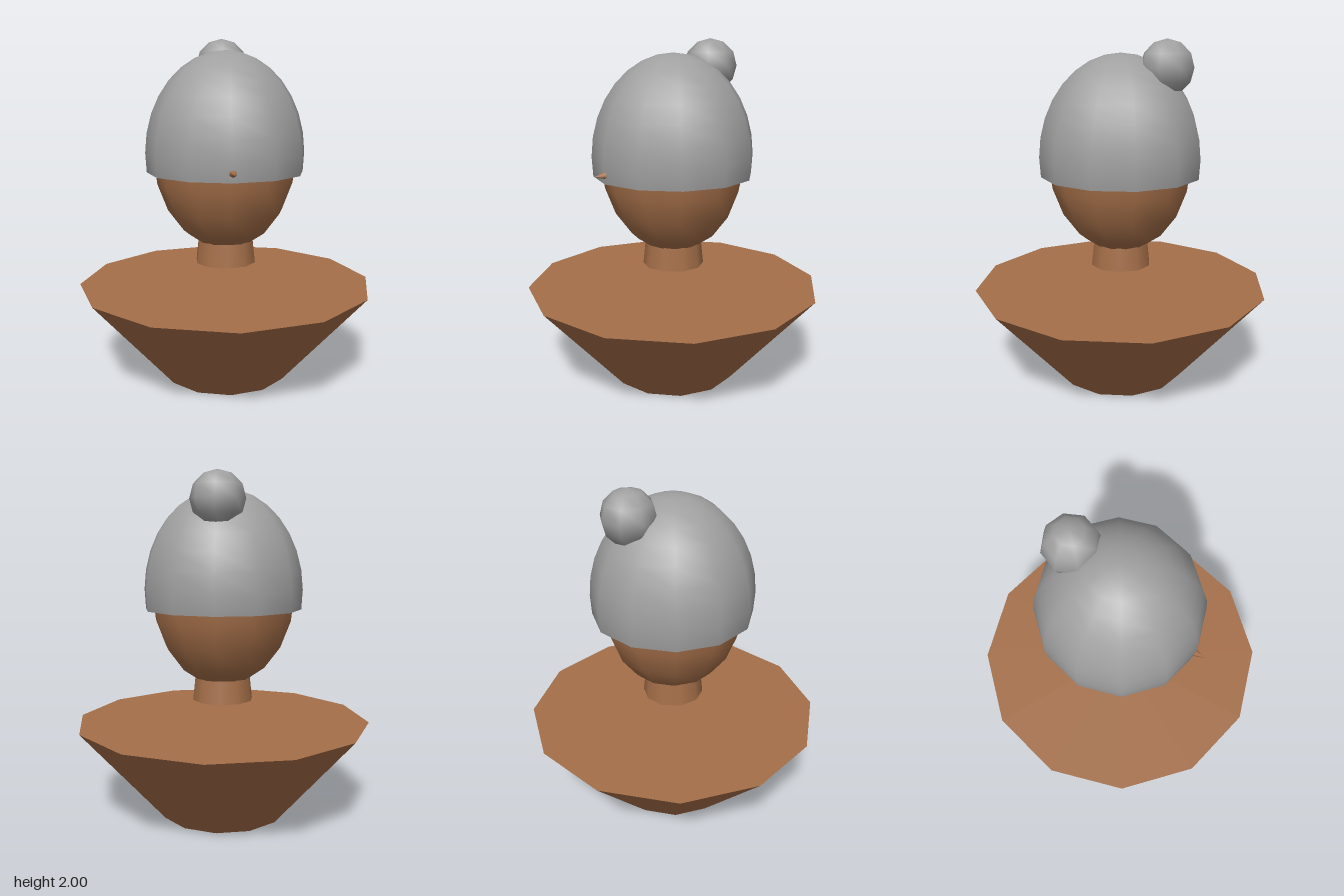
import * as THREE from 'three';

export function createModel() {
  const model = new THREE.Group();
  const skin = new THREE.MeshStandardMaterial({ color: 0xa56f49 });
  skin.name = 'brown skin';
  const wool = new THREE.MeshStandardMaterial({ color: 0xa0a0a0, side: THREE.DoubleSide });
  wool.name = 'grey wool';

  function add(name, geometry, material, y, z = 0) {
    const mesh = new THREE.Mesh(geometry, material);
    mesh.name = name;
    mesh.position.set(0, y, z);
    model.add(mesh);
    return mesh;
  }

  // Bust: wide shoulders tapering to the base
  add('torso', new THREE.CylinderGeometry(0.867, 0.372, 0.565, 12), skin, 0.2825);

  // Neck floats above the shoulders and runs into the head
  add('neck', new THREE.CylinderGeometry(0.163, 0.18, 0.16, 10), skin, 0.77);

  // Egg-shaped head
  add('head', new THREE.SphereGeometry(1, 12, 10), skin, 1.332).scale.set(0.42, 0.558, 0.42);

  // Open cap ending just below the widest ring
  const cap = new THREE.SphereGeometry(1, 12, 9, 0, Math.PI * 2, 0, Math.PI * 0.555);
  add('hat', cap, wool, 1.332).scale.set(0.466, 0.592, 0.473);

  // Bobble at the back of the hat
  add('bobble', new THREE.SphereGeometry(0.154, 8, 6), wool, 1.847, -0.27);

  // Tiny pointed nose
  const nose = new THREE.ConeGeometry(0.022, 0.065, 6);
  nose.rotateX(Math.PI / 2);
  add('nose', nose, skin, 1.28, 0.494);

  return model;
}
